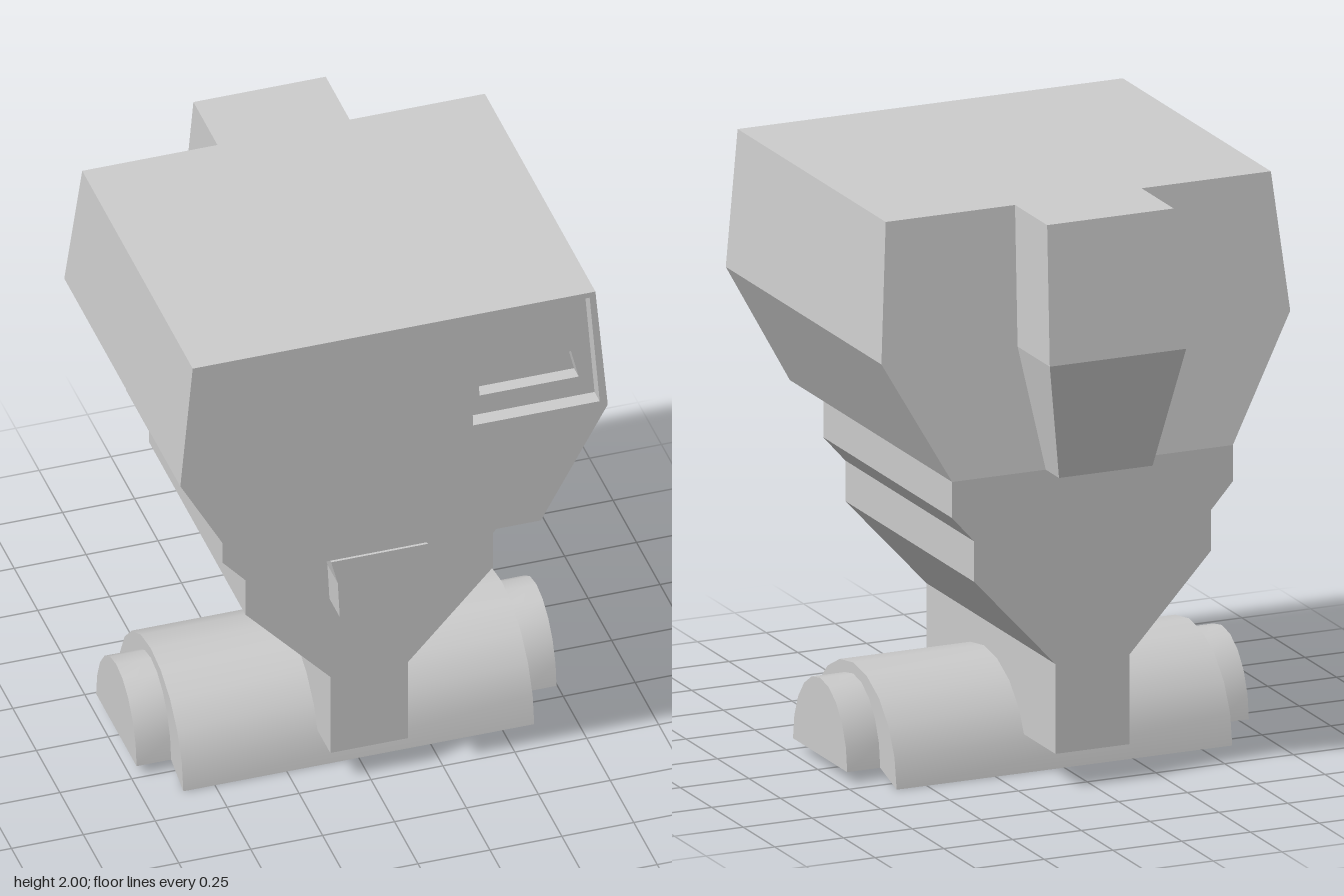
import * as THREE from 'three';
import { toCreasedNormals } from 'three/addons/utils/BufferGeometryUtils.js';

const material = new THREE.MeshStandardMaterial({ color: 0xcccccc });

// Outline in x/y from its right half (x >= 0, listed top to bottom), mirrored.
const mirrored = (half) => [...half, ...half.slice().reverse().map(([x, y]) => [-x, y])];
const toPoints = (pts) => pts.map(([x, y]) => new THREE.Vector2(x, y));

// Extrudes an outline; back and front are z positions given as functions of y.
function slab(outline, back, front, holes = []) {
  const shape = new THREE.Shape(toPoints(outline));
  shape.holes = holes.map((h) => new THREE.Path(toPoints(h)));
  const geo = new THREE.ExtrudeGeometry(shape, { depth: 1, bevelEnabled: false });
  const p = geo.attributes.position;
  for (let i = 0; i < p.count; i++) {
    p.setZ(i, p.getZ(i) < 0.5 ? back(p.getY(i)) : front(p.getY(i)));
  }
  geo.computeVertexNormals();
  return geo;
}

export function createModel() {
  const model = new THREE.Group();
  const add = (name, geo, parent = model) => {
    const mesh = new THREE.Mesh(geo, material);
    mesh.name = name;
    parent.add(mesh);
    return mesh;
  };
  const at = (z) => () => z;

  // Head: solid core with a leaning back, then two layers cut by the face recesses
  const head = new THREE.Group();
  head.name = 'head';
  model.add(head);
  const headOutline = mirrored([[0.7, 2], [0.743, 1.53], [0.51, 1.11]]);
  const headBack = (y) => -0.43 - (2 - y) * 0.127;
  const flip = (pts) => pts.map(([x, y]) => [-x, y]);
  const eye = [[0.68, 1.98], [0.26, 1.98], [0.275, 1.55], [0.715, 1.55]];
  const slit = [[0.633, 1.735], [0.31, 1.735], [0.315, 1.625], [0.66, 1.625]];
  const brow = mirrored([[0.17, 1.935], [0.183, 1.59]]);
  const nose = mirrored([[0.17, 1.46], [0.118, 1.175]]);
  add('headCore', slab(headOutline, headBack, at(0.64)), head);
  add('eyeSlitLayer', slab(headOutline, at(0.64), at(0.69), [slit, flip(slit)]), head);
  add('facePlate', slab(headOutline, at(0.69), at(0.745), [eye, flip(eye), brow, nose]), head);

  // Ridge on the back of the head, folded at its widest level
  const ridge = [[0.23, 2, -0.685], [0.248, 1.53, -0.745], [0.17, 1.11, -0.648]];
  for (let i = 0; i < 2; i++) {
    const [[xa, ya, za], [xb, yb, zb]] = [ridge[i], ridge[i + 1]];
    const ridgeBack = (y) => THREE.MathUtils.mapLinear(y, ya, yb, za, zb);
    add(i ? 'lowerBackRidge' : 'upperBackRidge',
      slab(mirrored([[xa, ya], [xb, yb]]), ridgeBack, headBack), head);
  }

  // Stepped body narrowing to a stem
  add('body', slab(mirrored([[0.51, 1.11], [0.51, 0.985], [0.43, 0.895], [0.43, 0.755],
    [0.135, 0.435], [0.135, 0.125]]), at(-0.543), at(0.48)));

  // Block on the front of the body
  add('mouthBlock', slab(mirrored([[0.168, 0.985], [0.145, 0.895], [0.138, 0.755]]), at(0.48), at(0.59)));

  // Half-round base lying across, with a shallow channel underneath
  const arc = (rx, ry, y0, n) => Array.from({ length: n + 1 }, (_, i) => {
    const a = (Math.PI * i) / n;
    return [rx * Math.cos(a), y0 + ry * Math.sin(a)];
  });
  const roller = (outline, x0, x1) =>
    toCreasedNormals(slab(outline, at(x0), at(x1)).rotateY(Math.PI / 2), 0.6).translate(0, 0, 0.025);
  add('base', roller([...arc(0.345, 0.345, 0, 10), [-0.215, 0.04], [0.215, 0.04]], -0.61, 0.61));
  const endOutline = arc(0.215, 0.267, 0.04, 10);
  add('leftBaseEnd', roller(endOutline, 0.61, 0.73));
  add('rightBaseEnd', roller(endOutline, -0.73, -0.61));

  return model;
}
